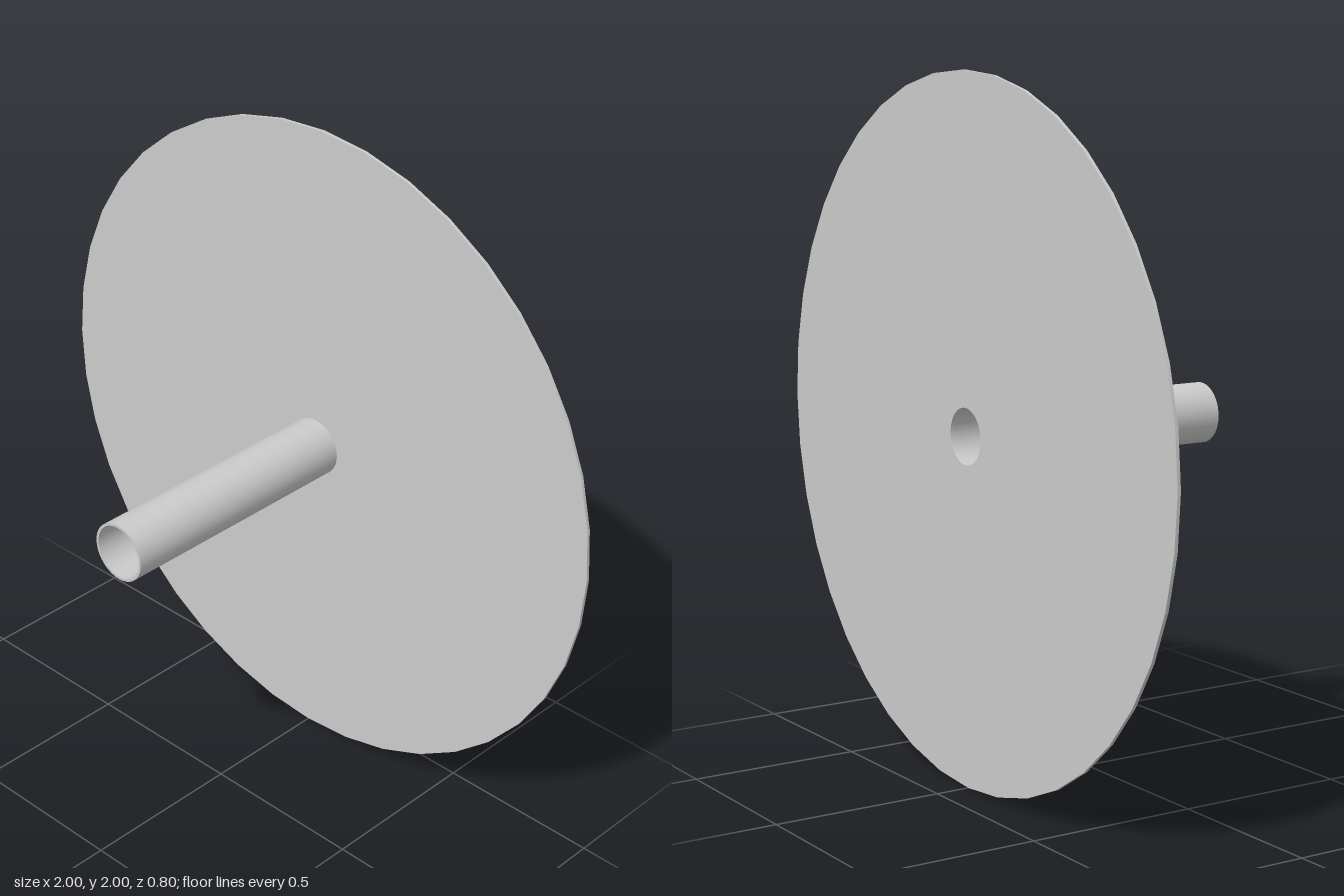
import * as THREE from 'three';
import { toCreasedNormals } from 'three/addons/utils/BufferGeometryUtils.js';

const SIDES = 40;
const BORE = 0.08;
const BACK = -0.4, FACE = -0.39, TIP = 0.4;

// Revolves [radius, z] points about the z axis
function revolve(name, profile, material) {
  const points = profile.map(([r, z]) => new THREE.Vector2(r, z));
  const geometry = new THREE.LatheGeometry(points, SIDES).rotateX(Math.PI / 2);
  const mesh = new THREE.Mesh(toCreasedNormals(geometry, 0.6), material);
  mesh.name = name;
  mesh.position.y = 1;
  return mesh;
}

export function createModel() {
  const model = new THREE.Group();
  model.name = 'flangedTube';
  const grey = new THREE.MeshStandardMaterial({ color: 0xcccccc });

  // Thin round plate with a central bore
  model.add(revolve('disc', [
    [BORE, BACK], [1, BACK], [1, FACE], [BORE, FACE], [BORE, BACK],
  ], grey));

  // Hollow tube standing out from the plate; its root is closed by the plate
  model.add(revolve('tube', [
    [0.088, FACE], [0.088, TIP], [BORE, TIP], [BORE, FACE],
  ], grey));

  return model;
}
